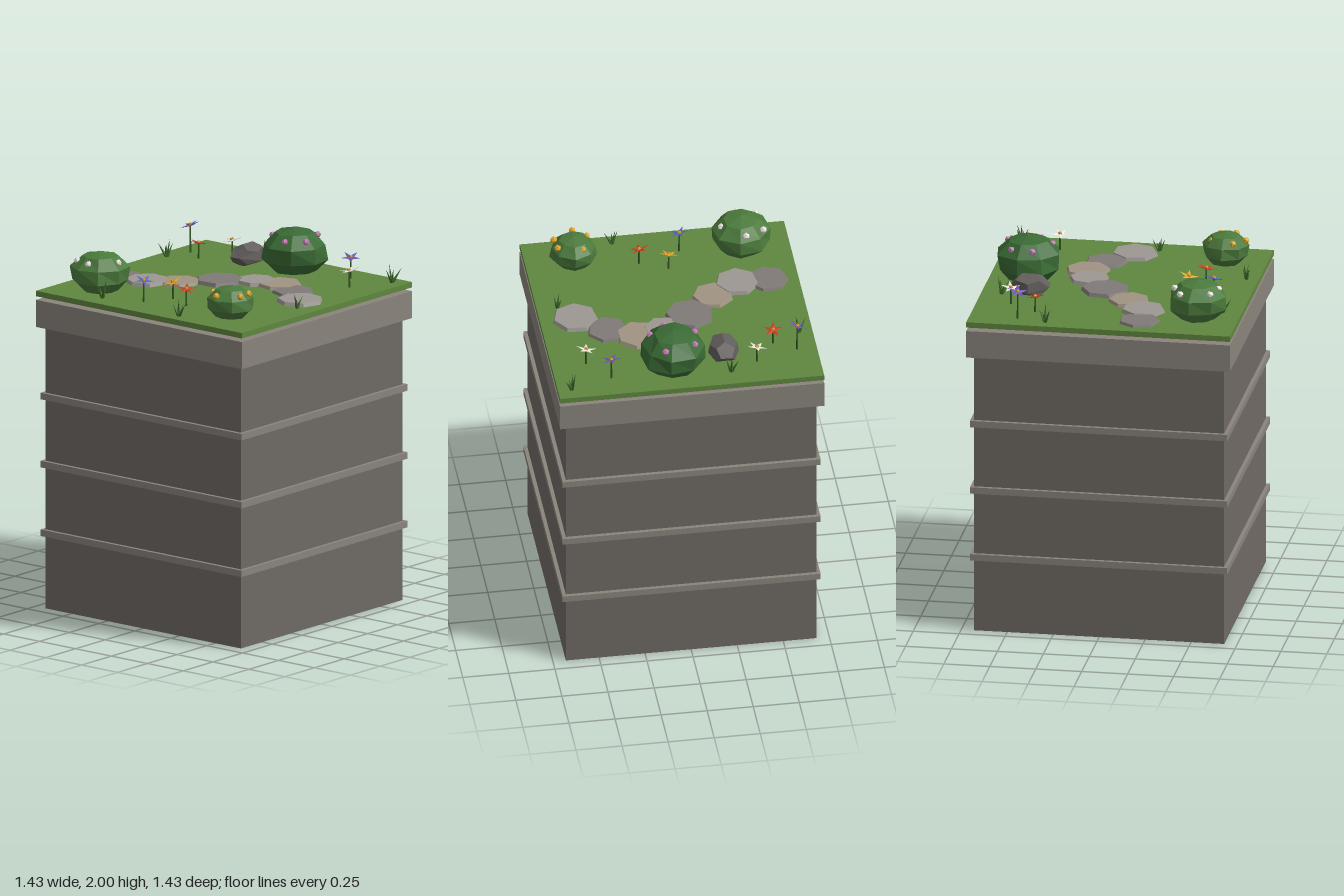
import * as THREE from 'three';

const mat = (color) => new THREE.MeshStandardMaterial({ color, flatShading: true, side: THREE.DoubleSide });
const M = {
  wall: mat(0x6f6a64), trim: mat(0x8a847c), turf: mat(0x5f873f), bush: mat(0x3a6b35), bushLight: mat(0x4b7a3c),
  stem: mat(0x2f5a24), blade: mat(0x3f6b2c), rock: mat(0x625e5c),
  stoneDark: mat(0x7f7a77), stoneLight: mat(0x9c9793), stoneTan: mat(0xa09382),
  white: mat(0xeae6e0), pink: mat(0xc878b8), yellow: mat(0xe0a828), red: mat(0xc83c20),
  blue: mat(0x5068c0), purple: mat(0x6c54b8), heart: mat(0xd09020),
};
const GROUND = 1.76;

function add(parent, name, geometry, material, x = 0, y = 0, z = 0) {
  const mesh = new THREE.Mesh(geometry, material);
  mesh.name = name;
  mesh.position.set(x, y, z);
  parent.add(mesh);
  return mesh;
}

function slab(parent, name, half, y0, y1, material) {
  return add(parent, name, new THREE.BoxGeometry(half * 2, y1 - y0, half * 2), material, 0, (y0 + y1) / 2, 0);
}

// Pushes vertices in and out by a rule that depends only on their position
function roughen(geometry, amount) {
  const p = geometry.attributes.position;
  const v = new THREE.Vector3();
  for (let i = 0; i < p.count; i++) {
    v.fromBufferAttribute(p, i);
    const k = 1 + amount * Math.sin(v.x * 7.1 + v.y * 4.3 + v.z * 9.7);
    p.setXYZ(i, v.x * k, v.y, v.z * k);
  }
  return geometry;
}

// Faceted bush with a ring of blossoms
function bush(parent, x, z, r, y0, y1, material, blossom, blossomY, spots) {
  const g = new THREE.Group();
  g.name = 'bush';
  parent.add(g);
  const leaves = add(g, 'bushLeaves', roughen(new THREE.SphereGeometry(1, 8, 5), 0.05), material, x, (y0 + y1) / 2, z);
  leaves.scale.set(r, (y1 - y0) / 2, r);
  leaves.rotation.y = x + z;
  for (const [bx, bz] of spots) {
    add(g, 'blossom', new THREE.IcosahedronGeometry(0.02, 0), blossom, bx, blossomY, bz);
  }
}

// Flower with a stem, five pointed petals and a round heart
function flower(parent, x, z, y, material, tiltX, tiltZ, turn) {
  const g = new THREE.Group();
  g.name = 'flower';
  g.position.set(x, GROUND, z);
  parent.add(g);
  const h = y - GROUND;
  add(g, 'stem', new THREE.CylinderGeometry(0.004, 0.006, h, 5), M.stem, 0, h / 2, 0);
  const head = new THREE.Group();
  head.name = 'flowerHead';
  head.position.y = h;
  head.rotation.set(tiltX, 0, tiltZ);
  g.add(head);
  for (let i = 0; i < 5; i++) {
    const petal = new THREE.ConeGeometry(0.016, 0.055, 4);
    petal.scale(1, 1, 0.35);
    petal.translate(0, 0.032, 0);
    petal.rotateX(Math.PI / 2 - 0.12);
    petal.rotateY(turn + (i * Math.PI * 2) / 5);
    add(head, 'petal', petal, material);
  }
  add(head, 'flowerHeart', new THREE.IcosahedronGeometry(0.013, 0), M.heart, 0, 0.004, 0);
}

// Tuft of leaning grass blades
function tuft(parent, x, z, h, turn) {
  const g = new THREE.Group();
  g.name = 'grassTuft';
  g.position.set(x, GROUND - 0.005, z);
  parent.add(g);
  for (let i = 0; i < 5; i++) {
    const len = h * (1 - 0.13 * ((i * 2) % 5) * 0.7);
    const blade = new THREE.ConeGeometry(0.01, len, 4);
    blade.translate(0, len / 2, 0);
    blade.rotateX(0.18 + 0.09 * ((i * 3) % 5));
    blade.rotateY(turn + (i * Math.PI * 2) / 5);
    add(g, 'grassBlade', blade, M.blade);
  }
}

export function createModel() {
  const model = new THREE.Group();
  model.name = 'gardenPillar';

  // Pillar with three bands and a cap; the turf hovers just above it
  slab(model, 'pillar', 0.68, 0, 1.57, M.wall);
  [0.42, 0.8, 1.177].forEach((y) => slab(model, 'band', 0.7, y - 0.018, y + 0.018, M.trim));
  slab(model, 'cap', 0.717, 1.56, 1.71, M.trim);
  slab(model, 'turf', 0.717, 1.73, GROUND, M.turf);

  // Stepping stones: x, z, radius, top height, material
  [
    [-0.196, -0.55, 0.118, 1.774, M.stoneDark], [-0.19, -0.38, 0.125, 1.78, M.stoneLight],
    [-0.09, -0.235, 0.118, 1.776, M.stoneTan], [0.065, -0.085, 0.137, 1.78, M.stoneDark],
    [0.18, 0.075, 0.113, 1.779, M.stoneLight], [0.21, 0.215, 0.127, 1.777, M.stoneTan],
    [0.135, 0.37, 0.12, 1.775, M.stoneDark], [0.005, 0.525, 0.132, 1.78, M.stoneLight],
  ].forEach(([x, z, r, top, material], i) => {
    const stone = add(model, 'steppingStone', new THREE.CylinderGeometry(r * 0.9, r, top - 1.75, 7), material, x, (top + 1.75) / 2, z);
    stone.rotation.y = i * 0.75 + 0.3;
  });

  // Boulder
  const boulder = add(model, 'boulder', roughen(new THREE.DodecahedronGeometry(1, 0), 0.06), M.rock, 0.455, 1.815, -0.21);
  boulder.scale.set(0.115, 0.068, 0.085);

  bush(model, -0.5, -0.45, 0.165, 1.745, 1.98, M.bushLight, M.white, 1.93,
    [[-0.58, -0.54], [-0.42, -0.56], [-0.61, -0.44], [-0.375, -0.46], [-0.48, -0.34]]);
  bush(model, 0.51, 0.07, 0.182, 1.73, 2.0, M.bush, M.pink, 1.945,
    [[0.47, -0.05], [0.585, -0.035], [0.385, 0.105], [0.46, 0.19], [0.63, 0.13]]);
  bush(model, -0.5, 0.46, 0.13, 1.75, 1.94, M.bushLight, M.yellow, 1.9,
    [[-0.55, 0.38], [-0.61, 0.45], [-0.43, 0.42], [-0.54, 0.56], [-0.46, 0.55]]);

  // Flowers: x, z, head height, colour, tilts, turn
  [
    [0.455, -0.61, 1.91, M.purple, -0.3, 0.2, 0.2], [0.38, -0.49, 1.845, M.red, 0.1, -0.2, 0.7],
    [0.53, -0.38, 1.85, M.white, -0.2, 0.15, 0.3], [-0.53, -0.12, 1.875, M.blue, 0.2, 0.15, 0.5],
    [-0.38, -0.04, 1.85, M.yellow, -0.15, 0.3, 0.1], [-0.45, 0.11, 1.85, M.red, 0.15, 0.2, 0.9],
    [0.565, 0.415, 1.875, M.purple, 0.2, 0.2, 0.4], [0.415, 0.53, 1.85, M.white, -0.2, 0.15, 0.8],
  ].forEach((f) => flower(model, ...f));

  // Grass tufts: x, z, height
  [
    [0.3, -0.645, 0.11], [-0.61, -0.34, 0.11], [0.605, -0.23, 0.11],
    [-0.65, 0.225, 0.1], [0.64, 0.64, 0.11], [-0.115, 0.605, 0.09],
  ].forEach(([x, z, h], i) => tuft(model, x, z, h, i * 0.8));

  return model;
}
